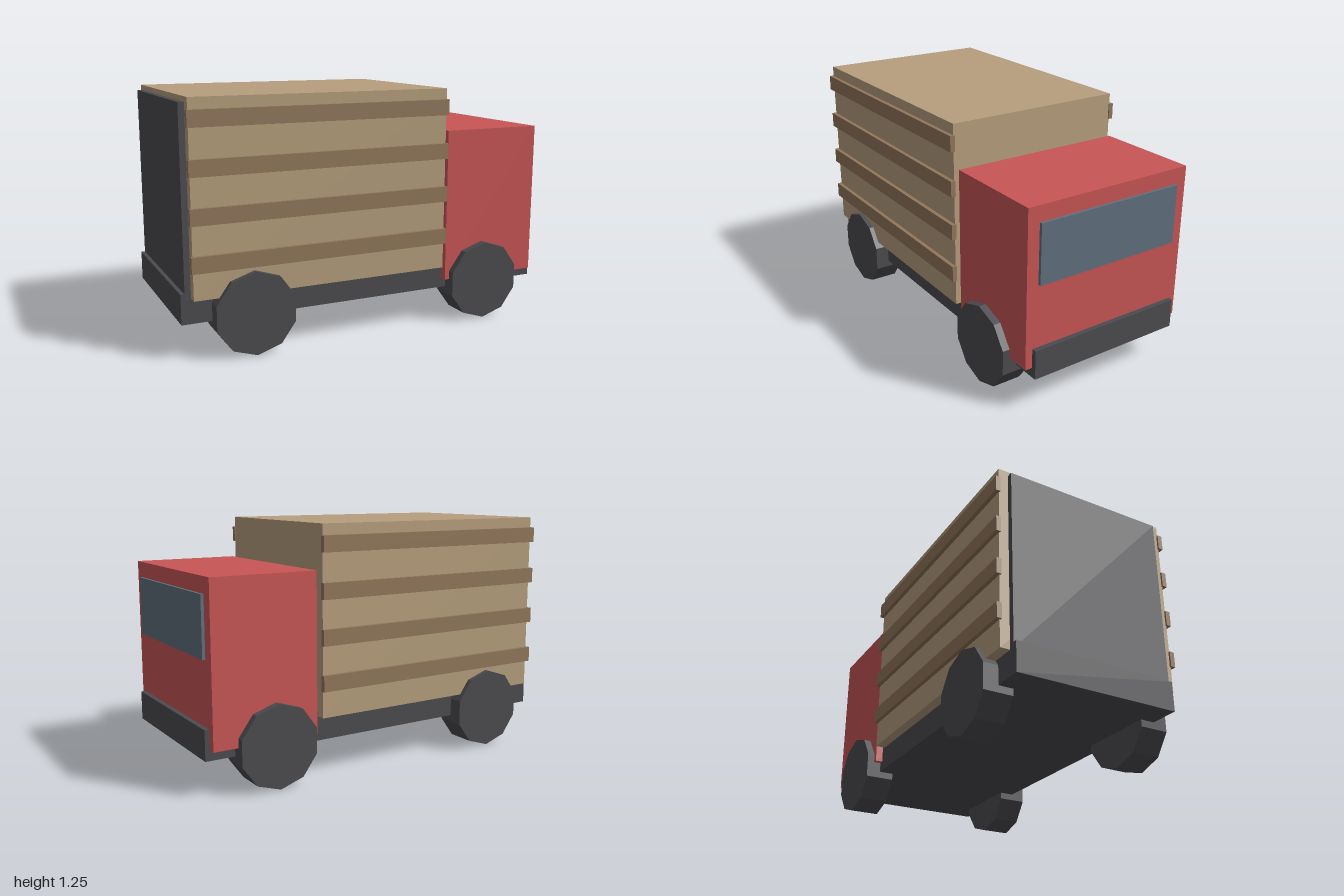
import * as THREE from 'three';

const material = (name, color) => {
  const m = new THREE.MeshStandardMaterial({ color });
  m.name = name;
  return m;
};

export function createModel() {
  const truck = new THREE.Group();
  truck.name = 'truck';

  const red = material('cab red', 0xc85555);
  const tan = material('cargo tan', 0xb69f7d);
  const brown = material('slat brown', 0x92775b);
  const dark = material('dark grey', 0x4c4c50);
  const glass = material('window blue grey', 0x60707d);

  // Adds a box spanning the given [min, max] ranges
  const box = (name, mat, [x0, x1], [y0, y1], [z0, z1]) => {
    const mesh = new THREE.Mesh(new THREE.BoxGeometry(x1 - x0, y1 - y0, z1 - z0), mat);
    mesh.position.set((x0 + x1) / 2, (y0 + y1) / 2, (z0 + z1) / 2);
    mesh.name = name;
    truck.add(mesh);
  };

  // Body
  box('chassis', dark, [-1, 1], [0.18, 0.33], [-0.425, 0.425]);
  box('cargoBox', tan, [-0.95, 0.4], [0.305, 1.25], [-0.475, 0.475]);
  box('rearDoor', dark, [-0.98, -0.94], [0.3, 1.225], [-0.425, 0.425]);
  box('cab', red, [0.425, 0.975], [0.23, 1.03], [-0.4625, 0.4625]);
  box('windscreen', glass, [0.965, 0.99], [0.65, 0.95], [-0.4, 0.4]);

  // Ten-sided wheels with a corner at the top
  const wheelGeometry = new THREE.CylinderGeometry(0.21, 0.21, 0.15, 10).toNonIndexed();
  wheelGeometry.rotateX(Math.PI / 2);
  wheelGeometry.computeVertexNormals();

  for (const side of [-1, 1]) {
    // Side slats
    for (let i = 0; i < 4; i++) {
      const y = 0.48 + i * 0.225;
      const z = side * 0.4825;
      box('slat', brown, [-0.96, 0.405], [y - 0.04, y + 0.04], [z - 0.0125, z + 0.0125]);
    }
    for (const x of [-0.65, 0.65]) {
      const wheel = new THREE.Mesh(wheelGeometry, dark);
      wheel.position.set(x, 0.21, side * 0.425);
      wheel.name = 'wheel';
      truck.add(wheel);
    }
  }
  return truck;
}
